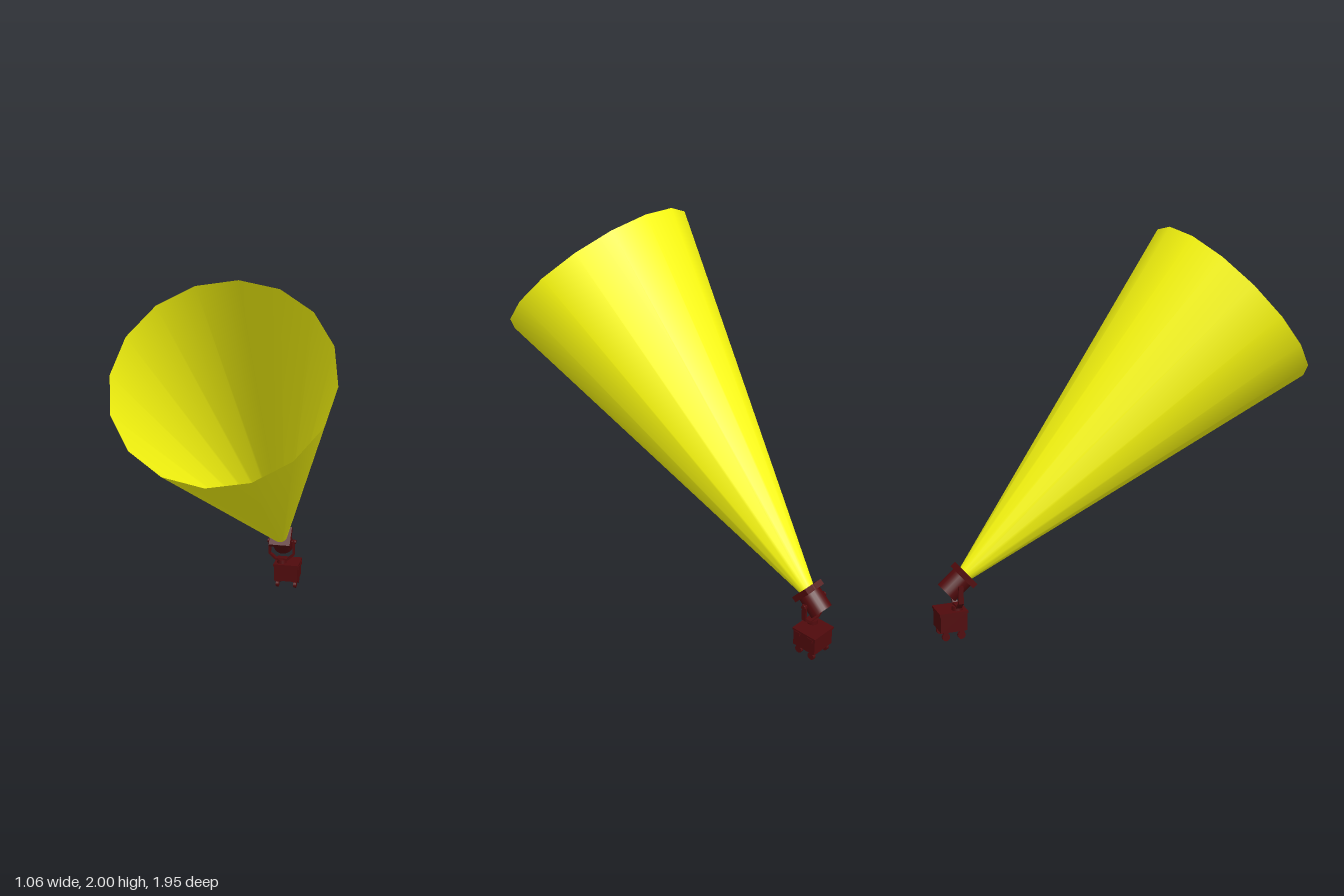
import * as THREE from 'three';

const red = new THREE.MeshStandardMaterial({ color: 0x500a0c });
const yellow = new THREE.MeshStandardMaterial({ color: 0xffff10, side: THREE.DoubleSide });

function add(parent, name, geometry, x = 0, y = 0, z = 0, material = red) {
  const mesh = new THREE.Mesh(geometry, material);
  mesh.name = name;
  mesh.position.set(x, y, z);
  parent.add(mesh);
  return mesh;
}

// Cylinder lying along the x axis
const barX = (r, length, sides = 12) =>
  new THREE.CylinderGeometry(r, r, length, sides).rotateZ(Math.PI / 2);

export function createModel() {
  const model = new THREE.Group();
  model.name = 'spotlight';

  // Ballast box with a thin lid, offset from the pivot line
  const base = new THREE.Group();
  base.name = 'base';
  base.position.set(0.03, 0, -0.9);
  model.add(base);
  add(base, 'baseBox', new THREE.BoxGeometry(0.136, 0.1, 0.136), 0, 0.096, 0);
  add(base, 'baseLid', new THREE.BoxGeometry(0.146, 0.012, 0.146), 0, 0.142, 0);

  // Castors at the four corners, and small latches on the left side
  for (const z of [-0.04, 0.04]) {
    for (const x of [-0.052, 0.052]) {
      add(base, 'wheel', barX(0.02, 0.016), x, 0.02, z);
      add(base, 'castorFork', new THREE.BoxGeometry(0.02, 0.02, 0.024), x, 0.041, z);
    }
    add(base, 'latch', new THREE.BoxGeometry(0.008, 0.02, 0.03), 0.072, 0.128, z);
  }

  // Swivel neck
  add(model, 'swivel', new THREE.CylinderGeometry(0.026, 0.028, 0.022, 16), 0, 0.158, -0.872);

  // Yoke strap: a U with chamfered corners
  const outer = [[-0.076, 0.29], [-0.076, 0.2], [-0.036, 0.165], [0.036, 0.165], [0.076, 0.2], [0.076, 0.29]];
  const inner = [[0.066, 0.29], [0.066, 0.205], [0.032, 0.176], [-0.032, 0.176], [-0.066, 0.205], [-0.066, 0.29]];
  const strap = new THREE.Shape([...outer, ...inner].map(([x, y]) => new THREE.Vector2(x, y)));
  const yoke = new THREE.ExtrudeGeometry(strap, { depth: 0.026, bevelEnabled: false });
  add(model, 'yoke', yoke, 0, 0, -0.885);

  // Tilt knobs
  for (const s of [-1, 1]) {
    add(model, 'tiltPin', barX(0.008, 0.026), s * 0.07, 0.28, -0.872);
    add(model, 'tiltKnob', barX(0.013, 0.007), s * 0.079, 0.28, -0.872);
  }

  // Tilted head; its local +z is the aiming direction
  const head = new THREE.Group();
  head.name = 'head';
  head.position.set(0, 0.286, -0.873);
  head.rotation.x = -Math.atan2(0.7, 0.8);
  model.add(head);
  const along = (r1, r2, length, sides, open = false) =>
    new THREE.CylinderGeometry(r1, r2, length, sides, 1, open).rotateX(Math.PI / 2);
  add(head, 'lampHousing', along(0.06, 0.06, 0.136, 20));
  add(head, 'frontFrame', new THREE.BoxGeometry(0.122, 0.118, 0.03), 0, 0, 0.054);

  // Light beam, an open cone
  add(head, 'beam', along(0.5315, 0.04, 1.93, 16, true), 0, 0, 1.032, yellow);

  return model;
}
